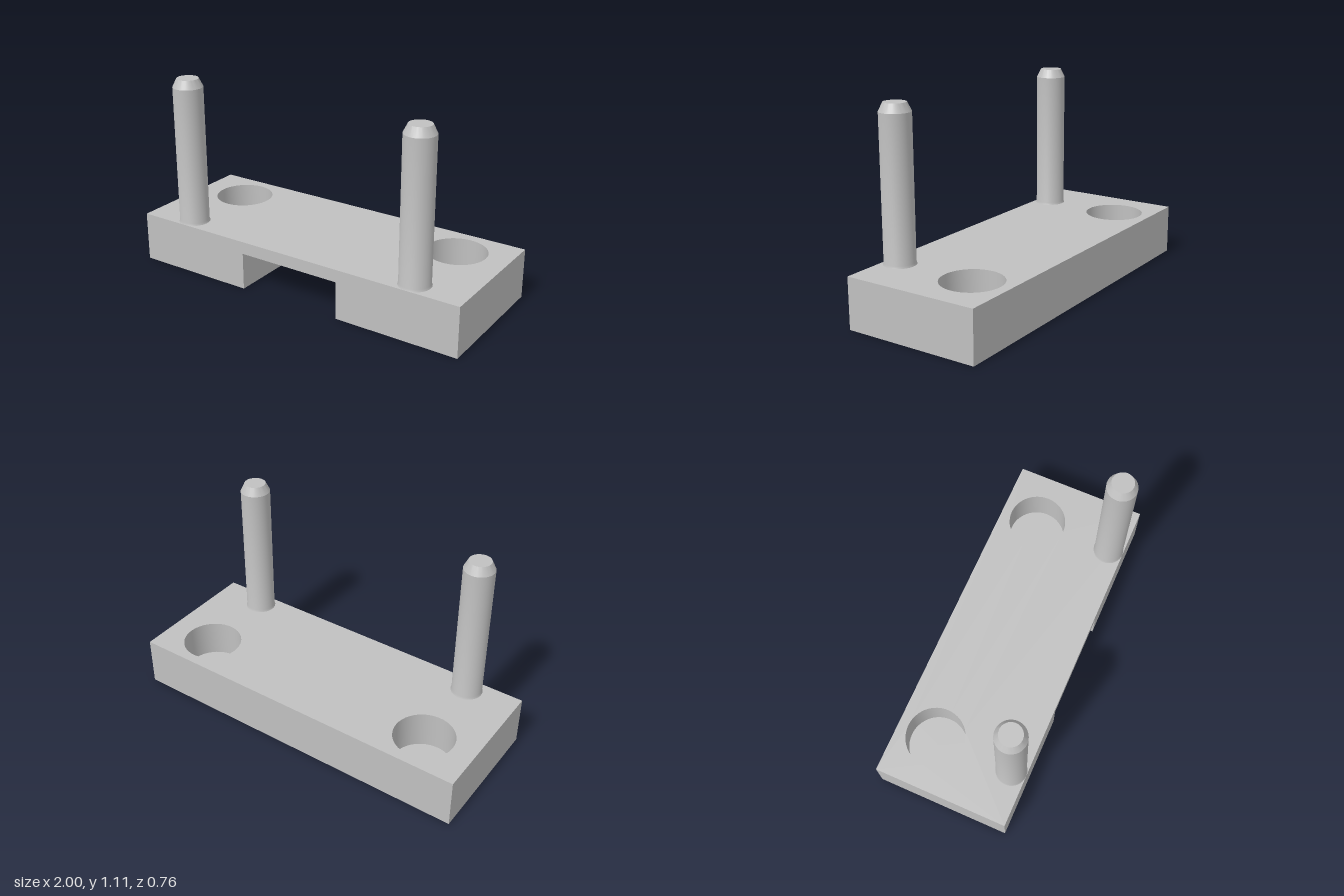
import * as THREE from 'three';
import { toCreasedNormals } from 'three/addons/utils/BufferGeometryUtils.js';

const W = 1, D = 0.38, H = 0.28;                 // half width, half depth, block height
const NOTCH = { x: 0.3, top: 0.21, back: -0.05 };
const HOLE = { x: 0.71, z: -0.16, r: 0.165, floor: 0.07 };
const PIN = { x: 0.71, z: 0.293 };

const polygon = (pts) => new THREE.Shape(pts.map(([x, y]) => new THREE.Vector2(x, y)));

export function createModel() {
  const model = new THREE.Group();
  const steel = new THREE.MeshStandardMaterial({ color: 0xc0c0c0 });
  steel.name = 'steel grey';

  const add = (name, geometry, parent = model) => {
    const mesh = new THREE.Mesh(geometry, steel);
    mesh.name = name;
    parent.add(mesh);
    return mesh;
  };
  const lathe = (pts) => toCreasedNormals(
    new THREE.LatheGeometry(pts.map(([r, y]) => new THREE.Vector2(r, y)), 48), 0.4);

  const block = new THREE.Group();
  block.name = 'baseBlock';
  model.add(block);

  // Top face, pierced by the two round sockets
  const top = polygon([[-W, -D], [W, -D], [W, D], [-W, D]]);
  for (const s of [-1, 1]) {
    const hole = new THREE.Path();
    hole.absarc(s * HOLE.x, -HOLE.z, HOLE.r, 0, Math.PI * 2, true);
    top.holes.push(hole);
  }
  add('topFace', new THREE.ShapeGeometry(top, 24).rotateX(-Math.PI / 2).translate(0, H, 0), block);

  // Underside and front face, both cut by the notch
  const n = NOTCH;
  const under = polygon([[-W, -D], [W, -D], [W, D], [n.x, D], [n.x, n.back], [-n.x, n.back], [-n.x, D], [-W, D]]);
  add('underside', new THREE.ShapeGeometry(under).rotateX(Math.PI / 2), block);
  const front = polygon([[-W, 0], [-n.x, 0], [-n.x, n.top], [n.x, n.top], [n.x, 0], [W, 0], [W, H], [-W, H]]);
  add('frontFace', new THREE.ShapeGeometry(front).translate(0, 0, D), block);

  // Back and end faces
  add('backFace', new THREE.PlaneGeometry(2 * W, H).rotateY(Math.PI).translate(0, H / 2, -D), block);
  for (const s of [-1, 1]) {
    add('endFace', new THREE.PlaneGeometry(2 * D, H).rotateY(s * Math.PI / 2).translate(s * W, H / 2, 0), block);
  }

  // Notch walls and ceiling
  const depth = D - n.back, midZ = (D + n.back) / 2;
  add('notchCeiling', new THREE.PlaneGeometry(2 * n.x, depth).rotateX(Math.PI / 2).translate(0, n.top, midZ), block);
  add('notchBack', new THREE.PlaneGeometry(2 * n.x, n.top).translate(0, n.top / 2, n.back), block);
  for (const s of [-1, 1]) {
    add('notchSide', new THREE.PlaneGeometry(depth, n.top).rotateY(-s * Math.PI / 2).translate(s * n.x, n.top / 2, midZ), block);
  }

  for (const s of [-1, 1]) {
    const side = s > 0 ? 'left' : 'right';
    // Blind socket: inner wall and floor
    add(side + 'Socket', lathe([[HOLE.r, H], [HOLE.r, HOLE.floor], [0, HOLE.floor]]), block)
      .position.set(s * HOLE.x, 0, HOLE.z);
    // Guide pin with a slight foot and a bevelled tip
    add(side + 'Pin', lathe([[0.087, H], [0.083, 0.292], [0.083, 1.06], [0.06, 1.107], [0, 1.107]]))
      .position.set(s * PIN.x, 0, PIN.z);
  }
  return model;
}
